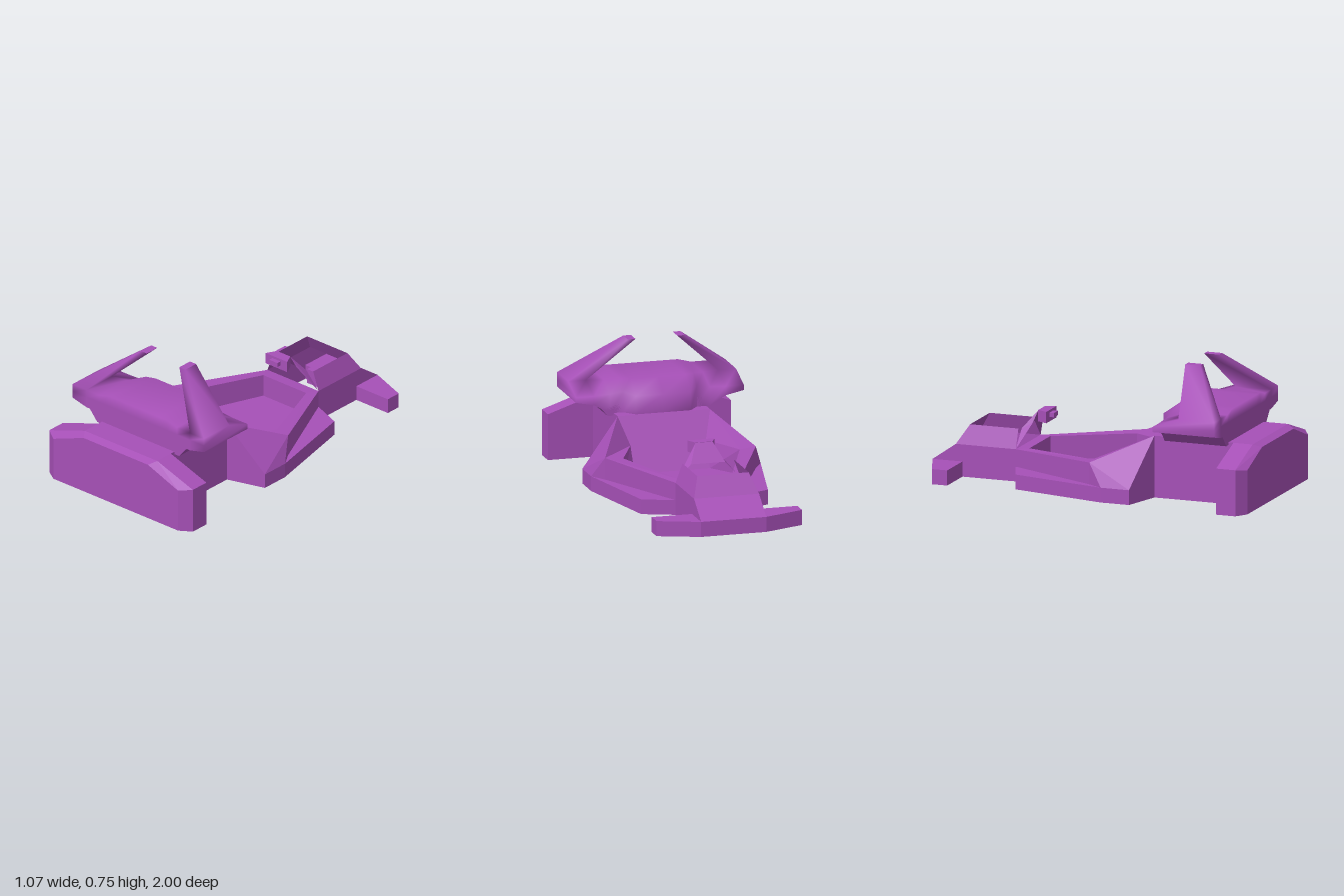
import * as THREE from 'three';
import { mergeVertices } from 'three/addons/utils/BufferGeometryUtils.js';

const purple = new THREE.MeshStandardMaterial({ color: 0xa650b7, side: THREE.DoubleSide });
purple.name = 'purple paint';

function part(group, name, geometry) {
  const mesh = new THREE.Mesh(geometry, purple);
  mesh.name = name;
  group.add(mesh);
  return mesh;
}

// Flat panels given for the +x half, mirrored to the other half.
function panels(faces) {
  const pos = [];
  const fan = (f) => {
    for (let i = 1; i < f.length - 1; i++) pos.push(...f[0], ...f[i], ...f[i + 1]);
  };
  for (const f of faces) {
    fan(f);
    fan(f.map(([x, y, z]) => [-x, y, z]).reverse());
  }
  const g = new THREE.BufferGeometry();
  g.setAttribute('position', new THREE.Float32BufferAttribute(pos, 3));
  g.computeVertexNormals();
  return g;
}

// One smooth skin from +x patches (rows of points), mirrored and welded.
function skin(patches) {
  const pos = [], idx = [];
  for (const half of patches) {
    for (const s of [1, -1]) {
      const start = pos.length / 3, n = half[0].length;
      const rows = s > 0 ? half : [...half].reverse();
      rows.forEach((row, i) => row.forEach(([x, y, z], j) => {
        pos.push(s * x, y, z);
        if (i < rows.length - 1 && j < n - 1) {
          const a = start + i * n + j, b = a + n;
          idx.push(b, a, a + 1, b, a + 1, b + 1);
        }
      }));
    }
  }
  const g = new THREE.BufferGeometry();
  g.setAttribute('position', new THREE.Float32BufferAttribute(pos, 3));
  g.setIndex(idx);
  const welded = mergeVertices(g);
  welded.computeVertexNormals();
  return welded;
}

export function createModel() {
  const kart = new THREE.Group();
  kart.name = 'kart';

  // Hull: skirt with a flat shelf, upright walls, rim and tub, open underneath
  const A0 = [0.19, 0, -0.5], A1 = [0.19, 0.085, -0.5], A2 = [0.19, 0.185, -0.5];
  const B0 = [0.37, 0, -0.43], B1 = [0.37, 0.085, -0.43];
  const C0 = [0.495, 0, 0.13], C1 = [0.495, 0.085, 0.13];
  const D0 = [0.495, 0, 0.3], D1 = [0.495, 0.085, 0.3];
  const E0 = [0.27, 0, 0.365], E2 = [0.27, 0.355, 0.365];
  const K = [0.44, 0.21, 0.04], W = [0.44, 0.085, 0.04];
  const I1 = [0.16, 0.19, -0.43], I2 = [0.34, 0.205, 0.02], I3 = [0.22, 0.203, 0.28];
  const F1 = [0.16, 0.06, -0.43], F2 = [0.34, 0.06, 0.02], F3 = [0.22, 0.06, 0.2];
  part(kart, 'hullSides', panels([
    [D0, C0, C1, D1], [C0, B0, B1, C1], [B0, A0, A1, B1], [E0, D0, D1, E2],
    [C1, B1, A1, W], [W, A1, A2, K], [C1, W, K], [D1, C1, K], [D1, K, E2],
    [K, A2, I1, I2], [K, I2, I3, E2], [A2, [0, 0.185, -0.5], [0, 0.19, -0.43], I1],
    [A0, [0, 0, -0.5], [0, 0.185, -0.5], A2],
  ]));
  part(kart, 'cockpitTub', panels([
    [F1, F2, I2, I1], [F2, F3, I3, I2],
    [[0, 0.06, -0.43], F1, I1, [0, 0.19, -0.43]],
    [F1, [0, 0.06, -0.43], [0, 0.06, 0.2], F3, F2],
  ]));
  part(kart, 'seatBack', panels([[F3, [0, 0.06, 0.2], [0, 0.355, 0.365], E2, I3]]));

  // Engine bay walls and the deck strips either side of the engine
  part(kart, 'engineBay', panels([
    [[0.27, 0, 0.84], [0.27, 0, 0.365], E2, [0.27, 0.355, 0.84]],
    ...[[0.365, 0.46], [0.79, 0.84]].map(([a, b]) =>
      [[0.27, 0.355, b], [0.27, 0.355, a], [0, 0.355, a], [0, 0.355, b]]),
  ]));

  // Bumper shell with a bevelled outer face
  const b = (z) => [[0.535, 0, z], [0.535, 0.265, z], [0.27, 0.355, z], [0, 0.355, z]];
  const inner = b(0.84), mid = b(0.955);
  const face = [[0.465, 0, 1], [0.465, 0.253, 1], [0.24, 0.338, 1], [0, 0.338, 1]];
  const bumper = [
    [inner[0], [0.27, 0, 0.84], inner[2], inner[1]],
    [[0, 0, 1], ...face],
  ];
  for (let i = 0; i < 3; i++) {
    bumper.push([mid[i], inner[i], inner[i + 1], mid[i + 1]]);
    bumper.push([face[i], mid[i], mid[i + 1], face[i + 1]]);
  }
  part(kart, 'bumper', panels(bumper));

  // Nose bar
  const bar = new THREE.Shape([[0.19, 1], [0.425, 0.912], [0.425, 0.82], [0.15, 0.82], [0.15, 0.79],
    [-0.15, 0.79], [-0.15, 0.82], [-0.425, 0.82], [-0.425, 0.912], [-0.19, 1]]
    .map(([x, y]) => new THREE.Vector2(x, y)));
  const barGeo = new THREE.ExtrudeGeometry(bar, { depth: 0.087, bevelEnabled: false });
  barGeo.rotateX(-Math.PI / 2);
  part(kart, 'noseBar', barGeo);

  // Nose hood, open on top and towards the cockpit
  const H = [0.19, 0.185, -0.86], T = [0.15, 0.295, -0.79];
  part(kart, 'noseHood', panels([
    [A0, [0.19, 0, -0.86], H, A2],
    [A2, H, T, [0.15, 0.295, -0.5]],
    [[0.19, 0.087, -0.86], [0.19, 0.087, -1], H],
    [[0.19, 0.087, -1], [0, 0.087, -1], [0, 0.185, -0.86], H],
    [H, [0, 0.185, -0.86], [0, 0.295, -0.79], T],
  ]));

  // Steering column: sloping top panel with two side cheeks
  part(kart, 'steeringColumn', panels([
    [[0.1, 0.285, -0.5], [0, 0.285, -0.5], [0, 0.385, -0.42], [0.05, 0.385, -0.42]],
    [A2, [0.1, 0.285, -0.5], [0.05, 0.385, -0.42], [0.08, 0.32, -0.44]],
  ]));

  // Steering wheel: shell flaring towards the driver, with a hub
  const wheel = (x, y, z) => [x, y ? 0.387 : 0.322, z ? -0.36 : -0.42];
  part(kart, 'steeringWheel', panels([
    [wheel(0.08, 1, 1), wheel(0.05, 1, 0), wheel(0, 1, 0), wheel(0, 1, 1)],
    [wheel(0.08, 0, 1), wheel(0.05, 0, 0), wheel(0.05, 1, 0), wheel(0.08, 1, 1)],
    [wheel(0, 0, 1), wheel(0.08, 0, 1), wheel(0.08, 1, 1), wheel(0, 1, 1)],
  ]));
  part(kart, 'wheelHub', new THREE.BoxGeometry(0.06, 0.025, 0.03)).position.set(0, 0.36, -0.348);

  // Engine cowl with side pods flowing into swept horns, from [y, z] sections along x
  const at = (x, c) => c.map(([y, z]) => [x, y, z]);
  const back = [[0.535, 0.81], [0.47, 0.81], [0.405, 0.81]];
  const podFront = [[0.408, 0.44], [0.46, 0.44], [0.515, 0.595]];
  const podBack = [[0.515, 0.81], [0.47, 0.81], [0.405, 0.81]];
  const endFront = [[0.43, 0.44], ...podFront.slice(1)];
  const endBack = [...podBack.slice(0, 2), [0.43, 0.81]];
  const nose = [[0.355, 0.375], [0.46, 0.375], [0.535, 0.48], ...back];
  const ring = (xi, xo, y, zf, zb) =>
    [[xi, y, zb], [xo, y, zb], [xo, y, zf], [xi, y, zf], [xi, y, zb]];
  part(kart, 'engineCowlAndHorns', skin([
    [
      at(0, nose),
      at(0.16, nose),
      at(0.215, [[0.355, 0.44], [0.475, 0.44], [0.535, 0.5], ...back]),
      at(0.29, [[0.355, 0.44], [0.465, 0.44], [0.515, 0.57], ...podBack]),
      at(0.385, [...podFront, ...podBack]),
    ],
    [at(0.385, podFront), at(0.49, endFront)],
    [at(0.385, podBack), at(0.49, endBack)],
    [at(0.49, endBack).reverse(), at(0.49, endFront)].map((r) => [...r].reverse()),
    [ring(0.385, 0.49, 0.515, 0.595, 0.81), ring(0.122, 0.167, 0.755, 0.51, 0.6)],
  ]));
  part(kart, 'hornTips', panels([ring(0.122, 0.167, 0.755, 0.51, 0.6).slice(0, 4)]));

  // Pod undersides and the flared engine mount
  part(kart, 'podUnderside', panels([
    [[0.29, 0.408, 0.44], [0.385, 0.408, 0.44], [0.385, 0.405, 0.81], [0.29, 0.405, 0.81]],
    [[0.385, 0.408, 0.44], [0.49, 0.43, 0.44], [0.49, 0.43, 0.81], [0.385, 0.405, 0.81]],
  ]));
  part(kart, 'engineMount', panels([
    [[0.305, 0.34, 0.81], [0.305, 0.34, 0.44], [0.365, 0.41, 0.44], [0.365, 0.41, 0.81]],
    [[0, 0.34, 0.81], [0.305, 0.34, 0.81], [0.365, 0.41, 0.81], [0, 0.41, 0.81]],
    [[0.305, 0.34, 0.44], [0.2, 0.34, 0.44], [0.2, 0.41, 0.44], [0.365, 0.41, 0.44]],
  ]));
  return kart;
}
